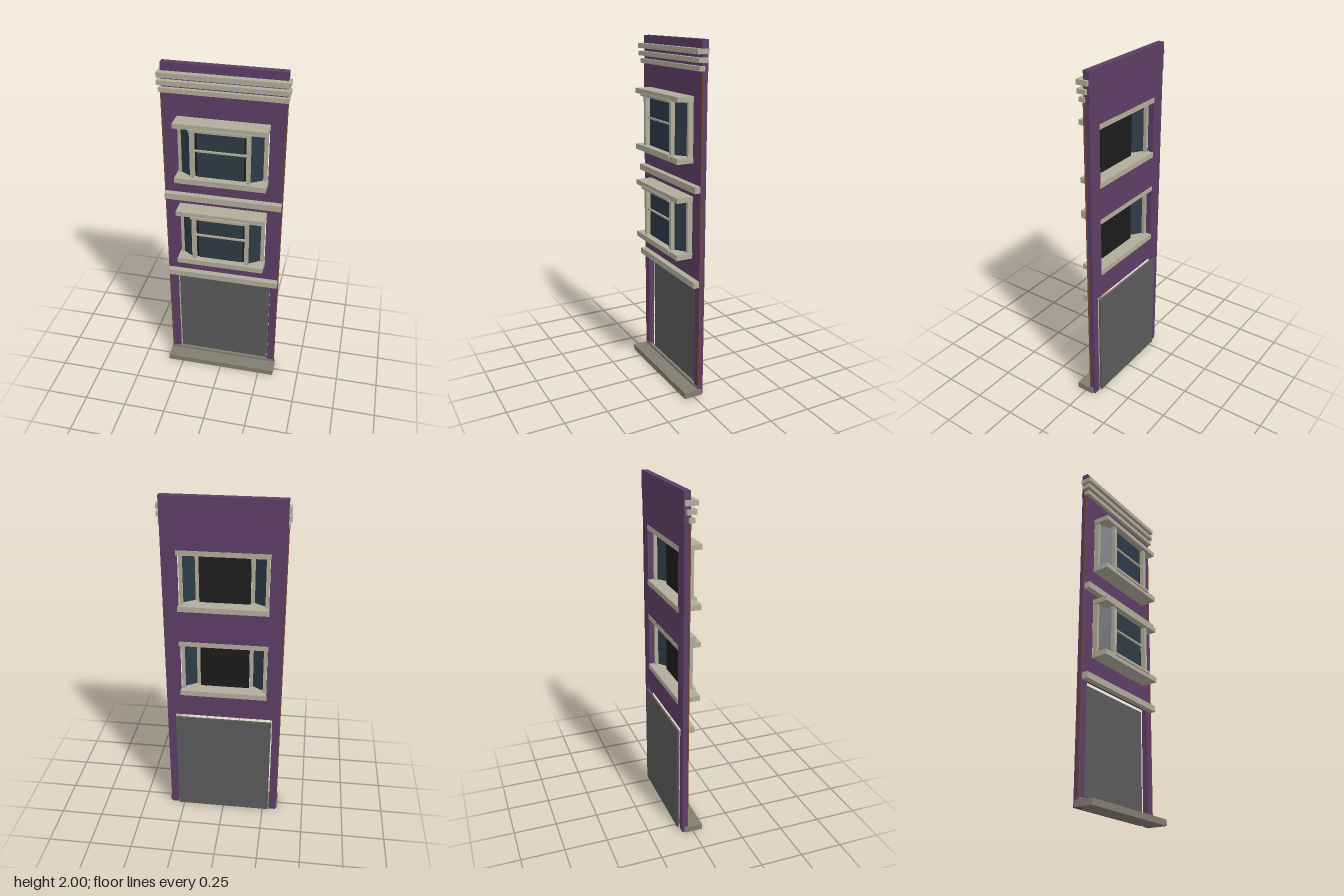
import * as THREE from 'three';

const mat = (name, color) => {
  const m = new THREE.MeshStandardMaterial({ color });
  m.name = name;
  return m;
};

export function createModel() {
  const purple = mat('purple wall', 0x5e3e66);
  const trim = mat('beige trim', 0xb1ad9b);
  const stone = mat('grey stone', 0x827d70);
  const doorGrey = mat('door grey', 0x5a5a5a);
  const glass = mat('blue glass', 0x2c3a46);
  const black = mat('dark interior', 0x1c1c1c);
  const brown = mat('brown edge', 0x7a4a30);

  const model = new THREE.Group();
  model.name = 'townhouseFacade';

  // Box given by its extents
  const box = (parent, name, m, x0, x1, y0, y1, z0, z1) => {
    const mesh = new THREE.Mesh(new THREE.BoxGeometry(x1 - x0, y1 - y0, z1 - z0), m);
    mesh.position.set((x0 + x1) / 2, (y0 + y1) / 2, (z0 + z1) / 2);
    mesh.name = name;
    parent.add(mesh);
    return mesh;
  };
  // Box centred on x = 0
  const wide = (parent, name, m, half, y0, y1, z0, z1) => box(parent, name, m, -half, half, y0, y1, z0, z1);

  const windowBases = [0.815, 1.355];
  const windowHeight = 0.355;

  // Wall with door notch and window openings
  const outline = new THREE.Shape([
    [-0.333, 0], [-0.291, 0], [-0.291, 0.68], [0.291, 0.68], [0.291, 0], [0.333, 0],
    [0.333, 1.84], [-0.333, 1.84],
  ].map(([x, y]) => new THREE.Vector2(x, y)));
  for (const y of windowBases) {
    outline.holes.push(new THREE.Path([
      [-0.25, y], [-0.25, y + windowHeight], [0.25, y + windowHeight], [0.25, y],
    ].map(([x, v]) => new THREE.Vector2(x, v))));
  }
  const wallGeometry = new THREE.ExtrudeGeometry(outline, { depth: 0.033, bevelEnabled: false });
  wallGeometry.translate(0, 0, -0.064);
  const wall = new THREE.Mesh(wallGeometry, purple);
  wall.name = 'wall';
  model.add(wall);
  wide(model, 'parapet', purple, 0.333, 1.84, 2, -0.067, -0.031);

  // Thin brown strips down the side edges
  for (const s of [-1, 1]) {
    const strip = box(model, 'edgeStrip', brown, -0.003, 0.003, 0.035, 1.84, -0.036, -0.03);
    strip.position.x = s * 0.3355;
  }

  // Cornice mouldings
  wide(model, 'corniceLower', trim, 0.343, 1.843, 1.868, -0.042, -0.01);
  wide(model, 'corniceMiddle', trim, 0.349, 1.885, 1.91, -0.055, -0.002);
  wide(model, 'corniceUpper', trim, 0.347, 1.928, 1.955, -0.064, 0.004);

  // Belt courses
  for (const y of [0.667, 1.207]) wide(model, 'beltCourse', trim, 0.333, y, y + 0.036, -0.033, 0.004);

  // Doorstep and garage door
  wide(model, 'doorstep', stone, 0.343, 0, 0.035, -0.05, 0.057);
  wide(model, 'threshold', stone, 0.333, 0.035, 0.05, -0.045, -0.028);
  wide(model, 'garageDoor', doorGrey, 0.284, 0.004, 0.665, -0.077, -0.066);

  // Bay windows
  for (const base of windowBases) {
    const bay = new THREE.Group();
    bay.name = 'bayWindow';
    bay.position.y = base;
    model.add(bay);

    wide(bay, 'sill', trim, 0.253, 0, 0.031, -0.066, 0.067);
    wide(bay, 'head', trim, 0.253, 0.327, windowHeight, -0.066, 0.067);
    wide(bay, 'lowerRail', trim, 0.167, 0.022, 0.038, 0.03, 0.075);
    wide(bay, 'upperRail', trim, 0.167, 0.318, 0.334, 0.03, 0.075);

    // Front sash, its dark backing and the meeting bar
    wide(bay, 'backing', black, 0.142, 0.031, 0.327, 0.01, 0.03);
    wide(bay, 'frontPane', glass, 0.128, 0.035, 0.322, 0.03, 0.036);
    wide(bay, 'meetingBar', trim, 0.142, 0.192, 0.202, 0.034, 0.046);

    for (const s of [-1, 1]) {
      // Front corner and outer posts
      const corner = box(bay, 'cornerPost', trim, -0.011, 0.011, 0.031, 0.327, 0.026, 0.057);
      corner.position.x = s * 0.154;
      const outer = box(bay, 'outerPost', trim, -0.009, 0.009, 0.031, 0.327, -0.034, -0.004);
      outer.position.x = s * 0.236;
      // Angled side pane
      const dx = 0.075, dz = 0.05;
      const pane = new THREE.Mesh(new THREE.BoxGeometry(Math.hypot(dx, dz), 0.284, 0.006), glass);
      pane.name = 'sidePane';
      pane.position.set(s * 0.195, 0.177, 0.011);
      pane.rotation.y = s * Math.atan2(dz, dx);
      bay.add(pane);
    }
  }
  return model;
}
